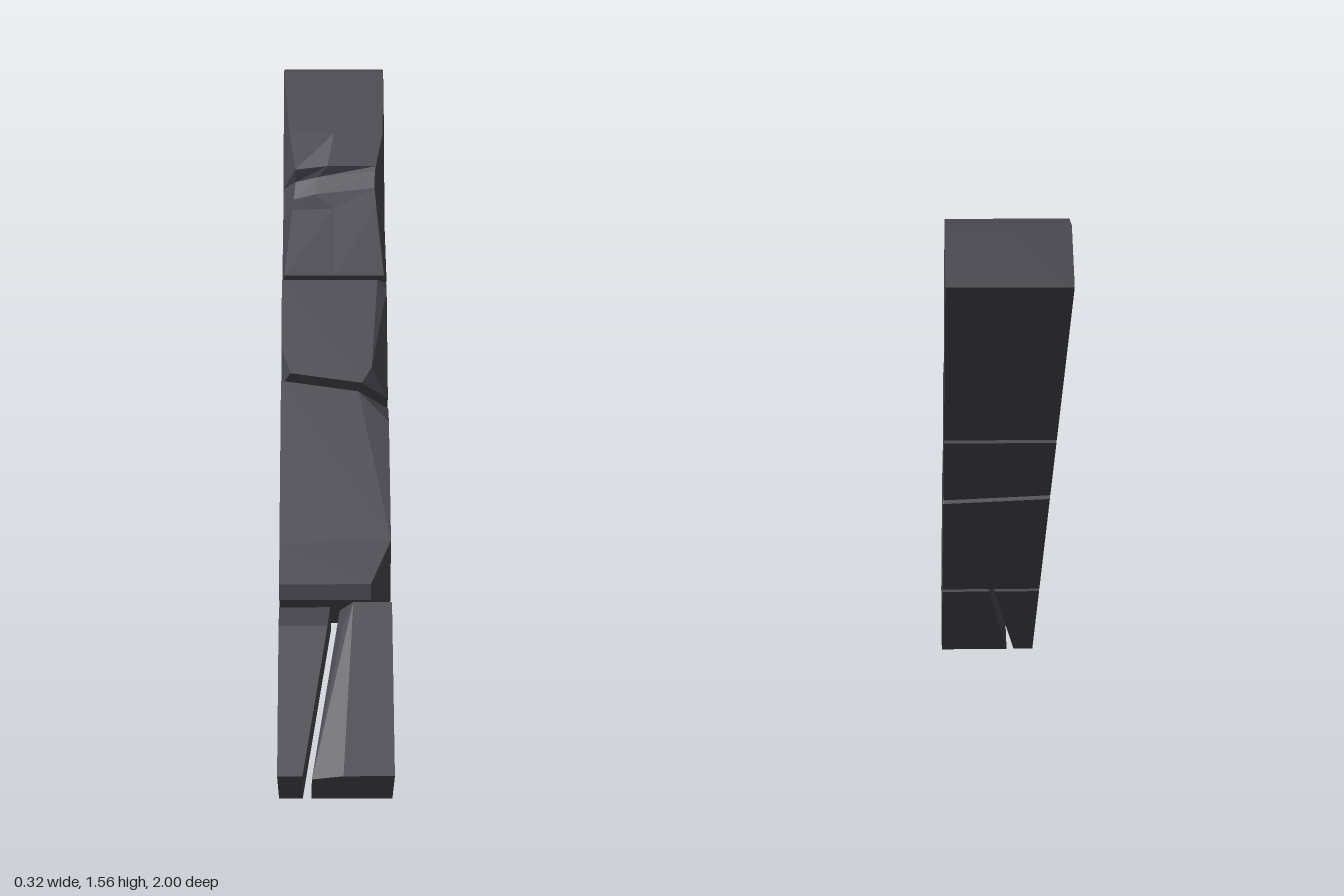
import * as THREE from 'three';
import { ConvexGeometry } from 'three/addons/geometries/ConvexGeometry.js';

// Local frame: x across, y along the pillar, z through its thickness.
const W = 0.158, T = 0.232;

// Chipped convex block from its corner points
function chunk(points) {
  return new ConvexGeometry(points.map((p) => new THREE.Vector3(...p)));
}

// Closed block lofted through cross-sections along y
function loft(sections) {
  const pos = [];
  const tri = (a, b, c) => pos.push(...a, ...b, ...c);
  const n = sections[0].length;
  for (let i = 0; i < sections.length - 1; i++) {
    const p = sections[i], q = sections[i + 1];
    for (let j = 0; j < n; j++) {
      const k = (j + 1) % n;
      tri(p[j], p[k], q[k]);
      tri(p[j], q[k], q[j]);
    }
  }
  const first = sections[0], last = sections[sections.length - 1];
  for (let j = 1; j < n - 1; j++) {
    tri(first[0], first[j + 1], first[j]);
    tri(last[0], last[j], last[j + 1]);
  }
  const g = new THREE.BufferGeometry();
  g.setAttribute('position', new THREE.Float32BufferAttribute(pos, 3));
  g.computeVertexNormals();
  return g;
}

export function createModel() {
  const model = new THREE.Group();
  const pillar = new THREE.Group();
  pillar.name = 'leaningPillar';
  pillar.rotation.x = Math.atan2(-0.799, 0.601);
  pillar.position.z = 0.86;
  model.add(pillar);

  const stone = new THREE.MeshStandardMaterial({ color: 0x47464f, flatShading: true });
  stone.name = 'darkStone';
  const add = (name, geometry) => {
    const mesh = new THREE.Mesh(geometry, stone);
    mesh.name = name;
    pillar.add(mesh);
  };

  // Foot, split in two by a slanted crack
  add('footRightHalf', chunk([
    [-W, 0, 0], [-0.092, 0, 0], [-W, 0, T], [-0.09, 0, T],
    [-W, 0.495, 0], [-0.012, 0.495, 0], [-W, 0.495, 0.19], [-0.015, 0.495, 0.19],
    [-W, 0.425, T], [-0.022, 0.425, T],
  ]));
  add('footLeftHalf', chunk([
    [-0.068, 0, 0], [W, 0, 0], [-0.065, 0, 0.2], [0.02, 0, T], [W, 0, T],
    [0.005, 0.495, 0], [W, 0.495, 0], [0.012, 0.485, 0.19],
    [0.02, 0.43, 0.215], [0.05, 0.495, T], [W, 0.495, T],
  ]));

  // Long block with a worn lower edge and a chipped upper corner
  add('lowerBlock', chunk([
    [-W, 0.515, 0], [W, 0.515, 0], [-W, 0.518, 0.187], [0.1, 0.518, 0.187],
    [-W, 0.555, 0.213], [0.1, 0.555, 0.213], [W, 0.56, 0.1], [W, 0.68, T], [-W, 0.67, T],
    [-W, 1.185, T], [0.07, 1.15, T], [W, 1.055, 0.225], [W, 1.12, 0.178],
    [W, 1.14, 0], [-W, 1.17, 0],
  ]));

  // Short block with a bevelled left edge
  add('middleBlock', chunk([
    [-W, 1.3, T], [-0.13, 1.21, T], [-W, 1.2, 0.17], [0.08, 1.178, T], [0.11, 1.23, T],
    [W, 1.16, 0.165], [W, 1.165, 0], [-W, 1.195, 0],
    [W, 1.5, 0.217], [W, 1.525, 0.21], [0.13, 1.525, T], [-W, 1.525, T],
    [W, 1.522, 0], [-W, 1.522, 0],
  ]));

  // Top block: [y, right side z, edge x, edge z, notch x, notch z, left edge x, left side z]
  const rows = [
    [1.54, 0.18, -0.15, T, 0, T, 0.15, 0.215],
    [1.78, 0.15, -0.13, 0.217, 0, 0.225, 0.13, 0.12],
    [1.85, 0.12, -0.125, 0.165, -0.06, 0.195, 0.125, 0.13],
    [1.91, 0.13, -0.12, 0.17, -0.05, 0.2, 0.127, 0.155],
    [1.93, 0.14, -0.12, 0.212, -0.02, T, 0.13, 0.165],
    [2.05, 0.18, -0.138, T, 0, T, 0.153, 0.21],
    [2.285, 0.224, -0.157, T, 0, T, 0.157, 0.226],
    [2.328, 0.183, -0.157, 0.183, 0, 0.183, 0.157, 0.183],
  ];
  add('topBlock', loft(rows.map(([y, zr, xa, za, xb, zb, xc, zl], i) => [
    [-W, y, 0], [-W, y, zr], [xa, y, za], [xb, y, zb],
    [xc, y, i === rows.length - 1 ? zl : T], [W, y, zl], [W, y, 0],
  ])));

  return model;
}
